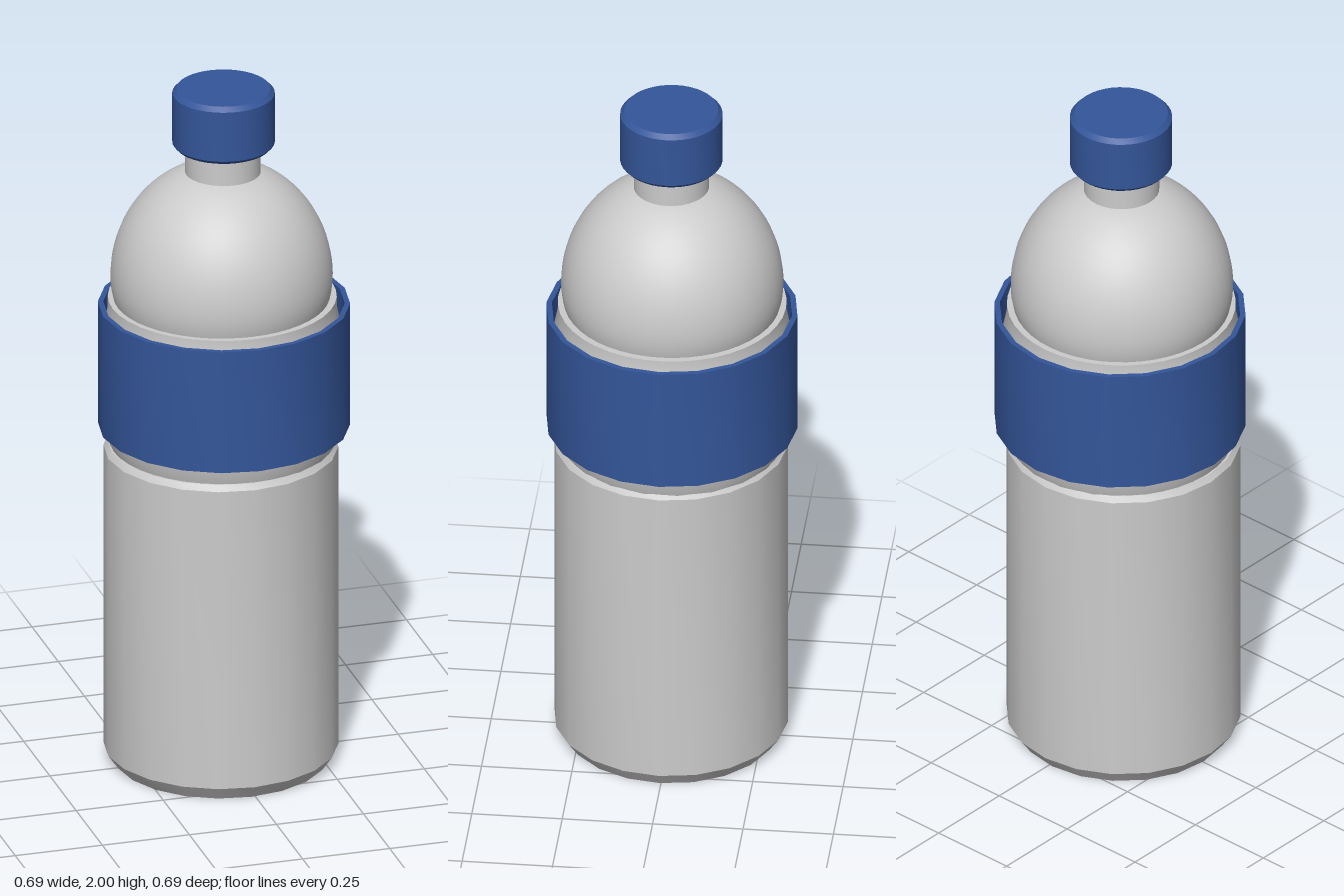
import * as THREE from 'three';
import { toCreasedNormals } from 'three/addons/utils/BufferGeometryUtils.js';

const grey = new THREE.MeshStandardMaterial({ color: 0xcccccc });
const blue = new THREE.MeshStandardMaterial({ color: 0x34569a });

// Turned part from [radius, height] pairs, listed bottom to top on the outside
function turned(name, profile, sides, material, x = 0, z = 0) {
  const points = profile.map(([r, y]) => new THREE.Vector2(r, y));
  const geometry = toCreasedNormals(new THREE.LatheGeometry(points, sides), 0.42);
  const mesh = new THREE.Mesh(geometry, material);
  mesh.name = name;
  mesh.position.set(x, 0, z);
  return mesh;
}

export function createModel() {
  const bottle = new THREE.Group();
  bottle.name = 'bottle';

  // Lower body with chamfered foot and shoulder
  bottle.add(turned('lowerBody', [
    [0, 0], [0.295, 0], [0.323, 0.04], [0.323, 0.93], [0.312, 0.947], [0, 0.947],
  ], 20, grey, -0.01, 0.003));

  // Upper body hidden behind the label, with a groove below and a rim on top
  bottle.add(turned('upperBody', [
    [0, 0.935], [0.306, 0.935], [0.325, 0.99], [0.328, 1.05], [0.328, 1.28],
    [0.315, 1.345], [0.315, 1.378], [0.296, 1.378], [0, 1.378],
  ], 40, grey, -0.005, 0));

  // Rounded shoulder dome
  const dome = [];
  for (let i = 0; i <= 20; i++) {
    const y = THREE.MathUtils.lerp(1.365, 1.752, i / 20);
    const h = (y - 1.44) / (y > 1.44 ? 0.332 : 0.27);
    dome.push([0.306 * Math.sqrt(1 - h * h), y]);
  }
  dome.push([0, 1.76]);
  bottle.add(turned('shoulderDome', dome, 48, grey, -0.007, 0));

  // Neck
  bottle.add(turned('neck', [[0.104, 1.74], [0.104, 1.85]], 32, grey, -0.004, 0.002));

  // Screw cap with small bevels
  bottle.add(turned('cap', [
    [0, 1.83], [0.132, 1.83], [0.141, 1.84], [0.141, 1.987], [0.129, 2], [0, 2],
  ], 40, blue, -0.002, 0.002));

  // Loose faceted label band, hollow inside
  bottle.add(turned('labelBand', [
    [0.332, 0.995], [0.347, 0.995], [0.347, 1.357], [0.332, 1.357], [0.332, 0.995],
  ], 20, blue));

  return bottle;
}
